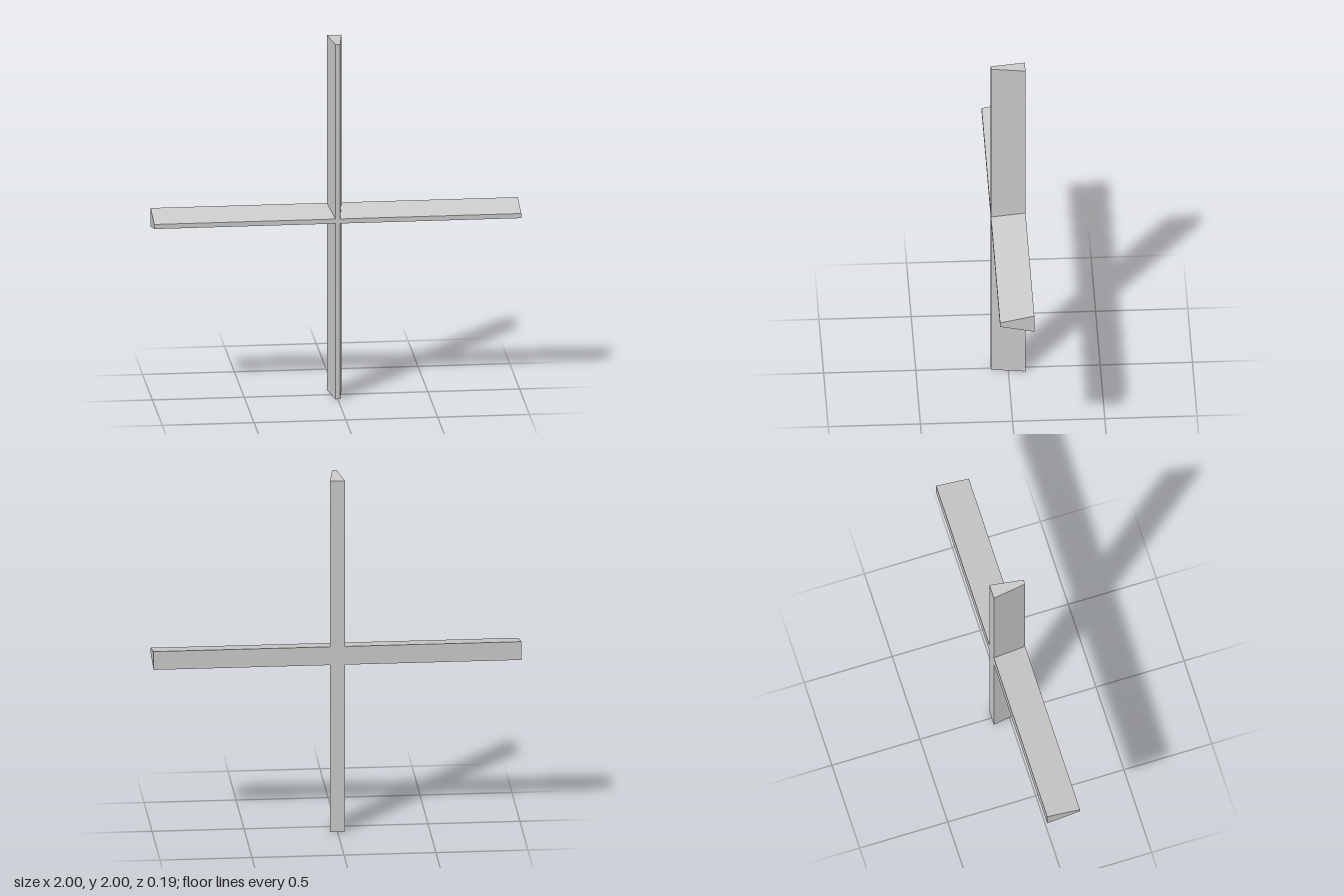
import * as THREE from 'three';

const DEPTH = 0.186;              // front to back
const CENTRE_Y = 1.003;           // height of the crossbar
const BACK = { w: 0.04, h: 0.052 };    // half thickness of the bars at the back
const FRONT = { w: 0.013, h: 0.013 };  // and at the front

export function createModel() {
  const group = new THREE.Group();
  group.name = 'taperedCross';

  // Cross outline at the back face
  const { w, h } = BACK;
  const top = 2 - CENTRE_Y, bottom = -CENTRE_Y;
  const outline = [
    [w, bottom], [w, -h], [1, -h], [1, h], [w, h], [w, top],
    [-w, top], [-w, h], [-1, h], [-1, -h], [-w, -h], [-w, bottom],
  ].map(([x, y]) => new THREE.Vector2(x, y));
  const geometry = new THREE.ExtrudeGeometry(new THREE.Shape(outline), { depth: DEPTH, bevelEnabled: false });

  // Narrow both bars towards the front, keeping their ends in place
  const p = geometry.attributes.position;
  for (let i = 0; i < p.count; i++) {
    if (p.getZ(i) < DEPTH / 2) continue;
    const x = p.getX(i), y = p.getY(i);
    if (Math.abs(x) < 0.5) p.setX(i, Math.sign(x) * FRONT.w);
    if (Math.abs(y) < 0.5) p.setY(i, Math.sign(y) * FRONT.h);
  }
  geometry.translate(0, CENTRE_Y, -DEPTH / 2);
  geometry.computeVertexNormals();

  const bars = new THREE.Mesh(geometry, new THREE.MeshStandardMaterial({ color: 0xcccccc, flatShading: true }));
  bars.name = 'crossedBars';
  group.add(bars);
  return group;
}
